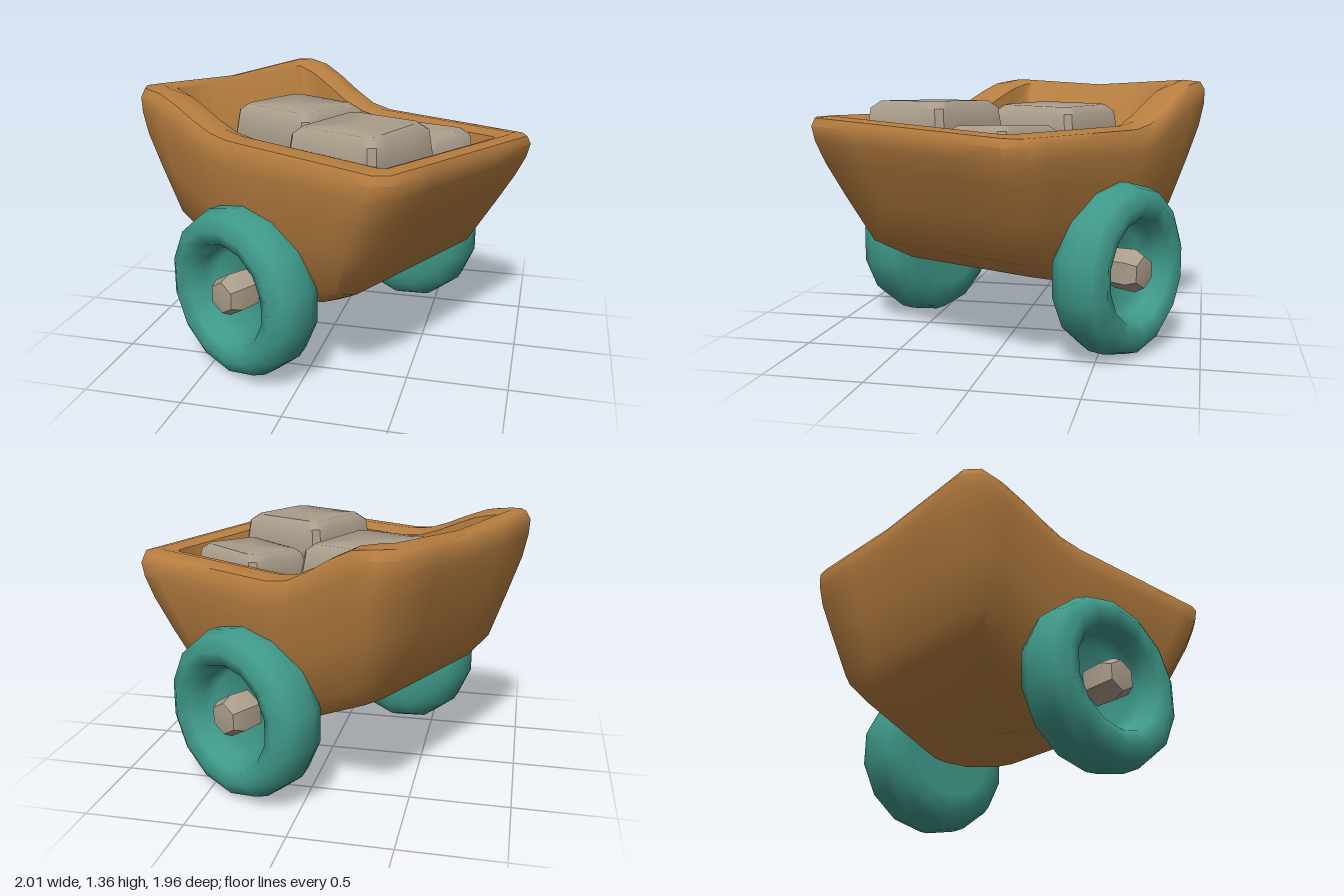
import * as THREE from 'three';
import { toCreasedNormals } from 'three/addons/utils/BufferGeometryUtils.js';

const wood = new THREE.MeshStandardMaterial({ name: 'orange wood', color: 0xb77e40 });
const rubber = new THREE.MeshStandardMaterial({ name: 'teal wheel', color: 0x3f998a });
const stone = new THREE.MeshStandardMaterial({ name: 'grey stone', color: 0xa99c8a });

// Straight-line interpolation through a few [x, y] stops
function stops(list, x) {
  for (let i = 1; i < list.length; i++) {
    const [x0, y0] = list[i - 1], [x1, y1] = list[i];
    if (x <= x1) return y0 + (y1 - y0) * THREE.MathUtils.clamp((x - x0) / (x1 - x0), 0, 1);
  }
  return list[list.length - 1][1];
}

// Loft through chamfered rectangles [x0, x1, halfDepth, chamfer, heightRule];
// skew slides x along with z, so the ends can stand slightly askew
function loft(rings, crease, skew = 0) {
  const NX = 12, NZ = 4, pos = [], idx = [];
  for (const [x0, x1, d, c, height] of rings) {
    const corners = [
      [x1, d - c], [x1, c - d], [x1 - c, -d], [x0 + c, -d],
      [x0, c - d], [x0, d - c], [x0 + c, d], [x1 - c, d],
    ];
    const parts = [NZ, 1, NX, 1, NZ, 1, NX, 1];
    corners.forEach(([ax, az], k) => {
      const [bx, bz] = corners[(k + 1) % 8];
      for (let s = 0; s < parts[k]; s++) {
        const t = s / parts[k], x = ax + (bx - ax) * t, z = az + (bz - az) * t;
        pos.push(x + skew * z, height(x, z), z);
      }
    });
  }
  const n = pos.length / 3 / rings.length, last = (rings.length - 1) * n;
  const centre = ([x0, x1, , , height]) => {
    const x = (x0 + x1) / 2;
    pos.push(x, height(x, 0), 0);
    return pos.length / 3 - 1;
  };
  const low = centre(rings[0]), high = centre(rings[rings.length - 1]);
  for (let j = 0; j < n; j++) {
    const k = (j + 1) % n;
    for (let r = 0; r < last; r += n) idx.push(r + j, r + k, r + n + k, r + j, r + n + k, r + n + j);
    idx.push(low, k, j, high, last + j, last + k);
  }
  const g = new THREE.BufferGeometry();
  g.setAttribute('position', new THREE.Float32BufferAttribute(pos, 3));
  g.setIndex(idx);
  return toCreasedNormals(g, crease);
}

function mesh(name, geometry, material) {
  const m = new THREE.Mesh(geometry, material);
  m.name = name;
  return m;
}

// Tub with a thick raised rear rim, bulging walls and a shallow keel
function makeTub() {
  const keel = (x) => stops([[-0.64, 0.585], [-0.1, 0.335], [0.1, 0.345], [0.42, 0.42]], x);
  const rim = (x, z) => {
    const rear = 1 - THREE.MathUtils.smoothstep(x, -0.74, -0.14);
    return 1.155 + 0.045 * z * (1 - rear) + rear * (0.175 + 0.03 * Math.min(1, Math.abs(z) / 0.6));
  };
  const at = (f) => (x, z) => THREE.MathUtils.lerp(keel(x), rim(x, z), f);
  return loft([
    [-0.63, 0.38, 0.46, 0.06, at(0)],
    [-0.70, 0.56, 0.56, 0.07, at(0.13)],
    [-0.77, 0.69, 0.63, 0.08, at(0.45)],
    [-0.82, 0.78, 0.67, 0.08, at(0.68)],
    [-0.84, 0.83, 0.685, 0.08, at(0.83)],
    [-0.845, 0.85, 0.685, 0.08, at(0.93)],
    [-0.82, 0.83, 0.66, 0.06, at(0.985)],
    [-0.765, 0.77, 0.57, 0.03, at(1)],
    [-0.72, 0.71, 0.49, 0.02, at(0.97)],
    [-0.52, 0.54, 0.43, 0.02, () => 0.62],
  ], 0.85, 0.05);
}

// Chunky block with a softened top, standing on its own origin
function makeStone(w, d, h, tilt) {
  const x = w / 2, z = d / 2;
  const ring = (size, f) =>
    [-x * size, x * size, z * size, 0.03, (px, pz) => f * (h + tilt * (px - pz))];
  return loft([ring(0.82, 0), ring(1, 0.42), ring(0.985, 0.75), ring(0.93, 0.94), ring(0.78, 1)], 0.75);
}

// Fat rounded wheel with a recessed face and a knob; the outer face is +z
function makeWheel(name) {
  const lathe = (points, sides) =>
    new THREE.LatheGeometry(points.map(([r, y]) => new THREE.Vector2(r, y)), sides);
  const wheel = new THREE.Group();
  wheel.name = name;
  const tyre = mesh('tyre', lathe([
    [0, -0.15], [0.26, -0.16], [0.34, -0.15], [0.405, -0.11], [0.433, -0.04], [0.433, 0.05],
    [0.41, 0.12], [0.34, 0.165], [0.27, 0.135], [0.235, 0.06], [0.21, -0.01], [0, -0.02],
  ], 14), rubber);
  const knob = mesh('hubKnob', toCreasedNormals(lathe([
    [0, -0.06], [0.1, -0.06], [0.108, 0.1], [0.08, 0.15], [0, 0.16],
  ], 6), 0.6), stone);
  tyre.rotation.x = knob.rotation.x = Math.PI / 2;
  wheel.add(tyre, knob);
  return wheel;
}

export function createModel() {
  const model = new THREE.Group();
  model.name = 'stoneCart';
  const cart = new THREE.Group();
  cart.name = 'cart';
  cart.rotation.y = -0.49;
  model.add(cart);

  cart.add(mesh('tub', makeTub(), wood));

  // Wheels on both long sides
  for (const side of [1, -1]) {
    const wheel = makeWheel(side > 0 ? 'frontWheel' : 'backWheel');
    wheel.position.set(0, 0.433, side * 0.665);
    if (side < 0) wheel.rotation.y = Math.PI;
    cart.add(wheel);
  }

  // Load: x, z, width, depth, top height, turn, tilt
  [
    [-0.285, -0.04, 0.53, 0.54, 1.225, 0.07, -0.02],
    [0.38, 0.23, 0.53, 0.53, 1.255, 0.07, 0.01],
    [0.37, -0.23, 0.46, 0.42, 1.14, -0.04, 0.05],
  ].forEach(([x, z, w, d, top, turn, tilt], i) => {
    const block = mesh('stone' + (i + 1), makeStone(w, d, top - 0.64, tilt), stone);
    block.position.set(x, 0.64, z);
    block.rotation.y = turn;
    cart.add(block);
  });

  return model;
}
